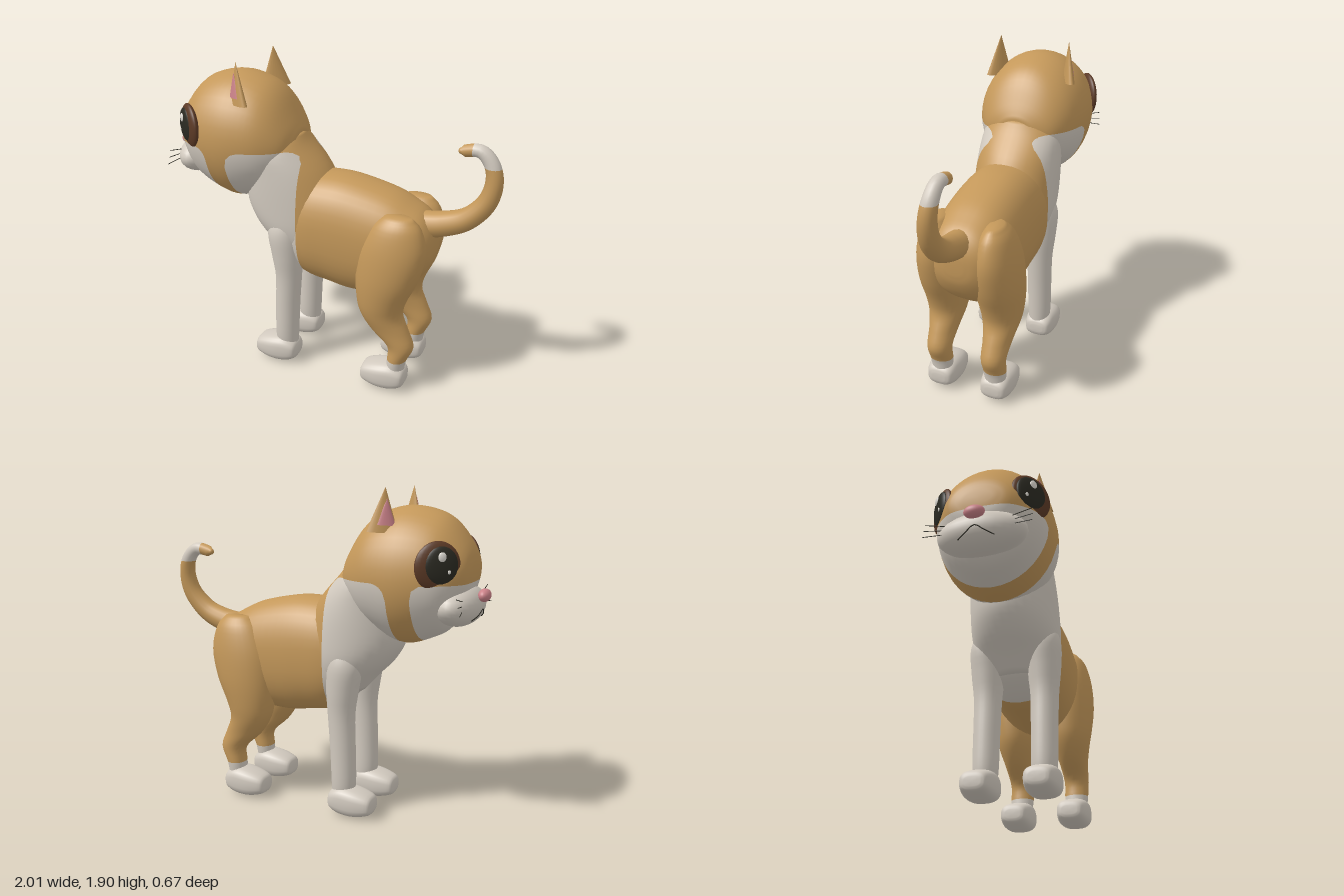
import * as THREE from 'three';

const paint = (name, color) => {
  const m = new THREE.MeshStandardMaterial({ color });
  m.name = name;
  return m;
};

// Smooth closed loft. Rows: [t, low, high, halfWidth], t along 'x' (low/high in y) or 'y' (low/high in x).
function loft(axis, rows, { z = 0, power = 2, steps = 4, sides = 28, shift = 0 } = {}) {
  const a = new THREE.CatmullRomCurve3(rows.map(r => new THREE.Vector3(r[0], r[1], r[2])), false, 'catmullrom');
  const b = new THREE.CatmullRomCurve3(rows.map(r => new THREE.Vector3(r[0], r[3], 0)), false, 'catmullrom');
  const n = (rows.length - 1) * steps, pos = [], idx = [];
  const put = (t, h, w) => (axis === 'x' ? pos.push(t + shift, h, z + w) : pos.push(h + shift, t, z + w));
  const bend = v => Math.sign(v) * Math.abs(v) ** (2 / power);
  for (let i = 0; i <= n; i++) {
    const p = a.getPoint(i / n), w = b.getPoint(i / n).y;
    for (let j = 0; j < sides; j++) {
      const t = (j / sides) * Math.PI * 2;
      put(p.x, (p.y + p.z) / 2 + (bend(Math.cos(t)) * (p.z - p.y)) / 2, bend(Math.sin(t)) * w);
    }
  }
  for (const r of [rows[0], rows.at(-1)]) put(r[0], (r[1] + r[2]) / 2, 0);
  const c0 = (n + 1) * sides, c1 = c0 + 1;
  for (let j = 0; j < sides; j++) {
    const k = (j + 1) % sides;
    for (let i = 0; i < n; i++) {
      const p = i * sides, q = p + sides;
      idx.push(p + j, q + j, p + k, p + k, q + j, q + k);
    }
    idx.push(c0, j, k, c1, n * sides + k, n * sides + j);
  }
  // turn the faces outward if the loft runs the other way
  const v = i => new THREE.Vector3().fromArray(pos, i * 3);
  let volume = 0;
  for (let i = 0; i < idx.length; i += 3) volume += v(idx[i]).dot(v(idx[i + 1]).cross(v(idx[i + 2])));
  if (volume < 0) idx.reverse();
  const g = new THREE.BufferGeometry();
  g.setAttribute('position', new THREE.Float32BufferAttribute(pos, 3));
  g.setIndex(idx);
  g.computeVertexNormals();
  return g;
}

// Cut a geometry along f = 0 and return the side where sign * f >= 0.
function cut(geometry, f, sign) {
  const g = geometry.toNonIndexed(), P = g.attributes.position, N = g.attributes.normal, pos = [], nor = [];
  for (let i = 0; i < P.count; i += 3) {
    const tri = [0, 1, 2].map(k => {
      const p = new THREE.Vector3().fromBufferAttribute(P, i + k);
      return { p, n: new THREE.Vector3().fromBufferAttribute(N, i + k), d: sign * f(p) };
    });
    const poly = [];
    tri.forEach((u, k) => {
      const w = tri[(k + 1) % 3];
      if (u.d >= 0) poly.push(u);
      if ((u.d >= 0) !== (w.d >= 0)) {
        const t = u.d / (u.d - w.d);
        poly.push({ p: u.p.clone().lerp(w.p, t), n: u.n.clone().lerp(w.n, t) });
      }
    });
    for (let k = 1; k + 1 < poly.length; k++)
      for (const u of [poly[0], poly[k], poly[k + 1]]) { pos.push(...u.p); nor.push(...u.n); }
  }
  const out = new THREE.BufferGeometry();
  out.setAttribute('position', new THREE.Float32BufferAttribute(pos, 3));
  out.setAttribute('normal', new THREE.Float32BufferAttribute(nor, 3));
  return out;
}

// Distance to a rounded box in the side plane, negative inside
function patch(p, x0, x1, y0, y1, r) {
  const dx = Math.abs(p.x - (x0 + x1) / 2) - (x1 - x0) / 2 + r;
  const dy = Math.abs(p.y - (y0 + y1) / 2) - (y1 - y0) / 2 + r;
  return Math.hypot(Math.max(dx, 0), Math.max(dy, 0)) + Math.min(Math.max(dx, dy), 0) - r;
}
const coat = p => Math.min(patch(p, -0.52, -0.11, -1, 1.4, 0.09), patch(p, -2, -0.65, -1, 1.4, 0.07));

export function createModel() {
  const cat = new THREE.Group();
  cat.name = 'cat';
  const tan = paint('tan fur', 0xc4985a), white = paint('white fur', 0xd2cabf), pink = paint('pink skin', 0xcb8289);
  const brown = paint('brown eye rim', 0x5c3a26), dark = paint('dark pupil', 0x2b2a22), glint = paint('eye glint', 0xe0dcd4);
  const add = (name, geometry, material, parent = cat) => {
    const m = new THREE.Mesh(geometry, material);
    m.name = name;
    parent.add(m);
    return m;
  };
  const addTwoTone = (name, geometry, f) => {
    add(name, cut(geometry, f, 1), tan);
    add(name + 'White', cut(geometry, f, -1), white);
  };
  const ball = (x, y, z) => new THREE.SphereGeometry(1, 28, 18).scale(x, y, z);

  // Head, neck and trunk
  addTwoTone('head', loft('x', [
    [-0.912, 1.42, 1.5, 0.08], [-0.89, 1.32, 1.59, 0.18], [-0.8, 1.15, 1.715, 0.27], [-0.7, 1.08, 1.775, 0.312],
    [-0.55, 1.035, 1.8, 0.332], [-0.4, 1.08, 1.765, 0.312], [-0.3, 1.14, 1.69, 0.27], [-0.22, 1.24, 1.56, 0.2],
    [-0.18, 1.32, 1.48, 0.1]], { sides: 40 }), coat);
  addTwoTone('neck', loft('y', [
    [1.47, -0.42, -0.18, 0.15], [1.4, -0.49, -0.13, 0.23], [1.25, -0.52, 0, 0.25], [1.05, -0.52, 0.1, 0.255],
    [0.92, -0.455, 0.1, 0.25], [0.82, -0.36, 0.08, 0.22], [0.72, -0.27, 0.05, 0.16]], { sides: 36 }), coat);
  addTwoTone('trunk', loft('x', [
    [-0.3, 0.8, 1, 0.1], [-0.24, 0.7, 1.15, 0.2], [-0.1, 0.6, 1.24, 0.245], [0.05, 0.57, 1.26, 0.252],
    [0.2, 0.55, 1.25, 0.25], [0.4, 0.57, 1.205, 0.24], [0.52, 0.64, 1.15, 0.22], [0.6, 0.71, 1.1, 0.19],
    [0.65, 0.8, 1.03, 0.12], [0.665, 0.87, 0.97, 0.05]], { power: 2.3, sides: 40 }), coat);

  // Muzzle, nose and mouth
  add('muzzle', ball(0.13, 0.118, 0.25).translate(-0.83, 1.272, 0), white);
  add('nose', ball(0.034, 0.036, 0.058).translate(-0.966, 1.33, 0), pink);
  const mouth = new THREE.CatmullRomCurve3([[-0.925, 1.2, -0.1], [-0.949, 1.225, -0.05], [-0.959, 1.255, 0],
    [-0.949, 1.225, 0.05], [-0.925, 1.2, 0.1]].map(p => new THREE.Vector3(...p)));
  add('mouth', new THREE.TubeGeometry(mouth, 16, 0.003, 5), dark);

  for (const s of [1, -1]) {
    const side = s > 0 ? 'left' : 'right';

    // Eyes
    const eye = new THREE.Group();
    eye.name = side + 'Eye';
    eye.position.set(-0.78, 1.5, 0.25 * s);
    eye.rotation.y = Math.atan2(-0.63, 0.77 * s);
    cat.add(eye);
    add('eyeRim', ball(0.127, 0.132, 0.036), brown, eye);
    add('pupil', ball(0.094, 0.1, 0.026).translate(-0.012 * s, 0.006, 0.019), dark, eye);
    add('glint', ball(0.022, 0.026, 0.009).translate(-0.01 * s, 0.052, 0.041), glint, eye);
    add('smallGlint', ball(0.01, 0.012, 0.006).translate(-0.05 * s, -0.025, 0.039), glint, eye);

    // Ears
    const ear = new THREE.Group();
    ear.name = side + 'Ear';
    ear.position.set(-0.46, 1.66, 0.225 * s);
    ear.rotation.set(0, Math.atan2(-0.55, 0.83 * s), 0.06 * s);
    cat.add(ear);
    add('earShell', new THREE.ConeGeometry(0.088, 0.24, 20).scale(1, 1, 0.36).translate(0, 0.12, 0), tan, ear);
    add('innerEar', new THREE.ConeGeometry(0.056, 0.14, 20).scale(1, 1, 0.36).translate(-0.012 * s, 0.11, 0.012), pink, ear);

    // Whiskers
    for (const k of [-1, 0, 1]) {
      const line = new THREE.LineCurve3(new THREE.Vector3(-0.9, 1.29 + 0.025 * k, 0.18 * s),
        new THREE.Vector3(-0.91 + 0.012 * k, 1.3 + 0.045 * k, 0.3 * s));
      add(side + 'Whisker', new THREE.TubeGeometry(line, 1, 0.0022, 5), dark);
    }

    // Front leg
    add(side + 'FrontLeg', loft('y', [
      [0.1, -0.28, -0.15, 0.06], [0.2, -0.29, -0.145, 0.072], [0.4, -0.285, -0.135, 0.075], [0.6, -0.28, -0.12, 0.08],
      [0.75, -0.3, -0.11, 0.095], [0.9, -0.32, -0.11, 0.1], [1.02, -0.27, -0.13, 0.06]], { z: 0.165 * s }), white);

    // Hind leg with a white sock
    addTwoTone(side + 'HindLeg', loft('y', [
      [0.1, 0.45, 0.56, 0.06], [0.2, 0.46, 0.575, 0.07], [0.3, 0.455, 0.615, 0.073], [0.4, 0.35, 0.58, 0.085],
      [0.5, 0.285, 0.54, 0.11], [0.6, 0.26, 0.56, 0.128], [0.75, 0.25, 0.625, 0.138], [0.92, 0.27, 0.66, 0.125],
      [1.06, 0.34, 0.63, 0.09], [1.13, 0.42, 0.57, 0.04]], { z: 0.172 * s }), p => p.y - 0.205);

    // Paws
    for (const [name, shift] of [['FrontPaw', 0], ['HindPaw', 0.715]])
      add(side + name, loft('x', [
        [-0.412, 0.05, 0.1, 0.045], [-0.395, 0.025, 0.135, 0.075], [-0.31, 0.002, 0.165, 0.094], [-0.22, 0.004, 0.175, 0.092],
        [-0.155, 0.03, 0.145, 0.075], [-0.138, 0.06, 0.11, 0.04]], { z: 0.172 * s, power: 2.8, shift }), white);
  }

  // Tail: a tapering tube with a white band near its tip
  const path = new THREE.CatmullRomCurve3([[0.58, 1.03, 0], [0.7, 1.055, 0], [0.83, 1.11, 0], [0.93, 1.22, -0.01],
    [0.96, 1.34, -0.02], [0.935, 1.44, -0.03], [0.87, 1.5, -0.035], [0.76, 1.485, -0.04]].map(p => new THREE.Vector3(...p)));
  const tail = new THREE.TubeGeometry(path, 40, 1, 16), q = tail.attributes.position;
  for (let i = 0; i < q.count; i++) {
    const t = Math.floor(i / 17) / 40, c = path.getPointAt(t);
    const r = (0.08 - 0.048 * t) * (t > 0.99 ? 0.5 : 1);
    const v = new THREE.Vector3().fromBufferAttribute(q, i).sub(c).multiplyScalar(r).add(c);
    q.setXYZ(i, v.x, v.y, v.z);
  }
  addTwoTone('tail', tail, p => Math.max(0.83 - p.x, 1.42 - p.y));
  add('tailTip', ball(0.016, 0.018, 0.018).translate(0.762, 1.486, -0.04), tan);
  return cat;
}
